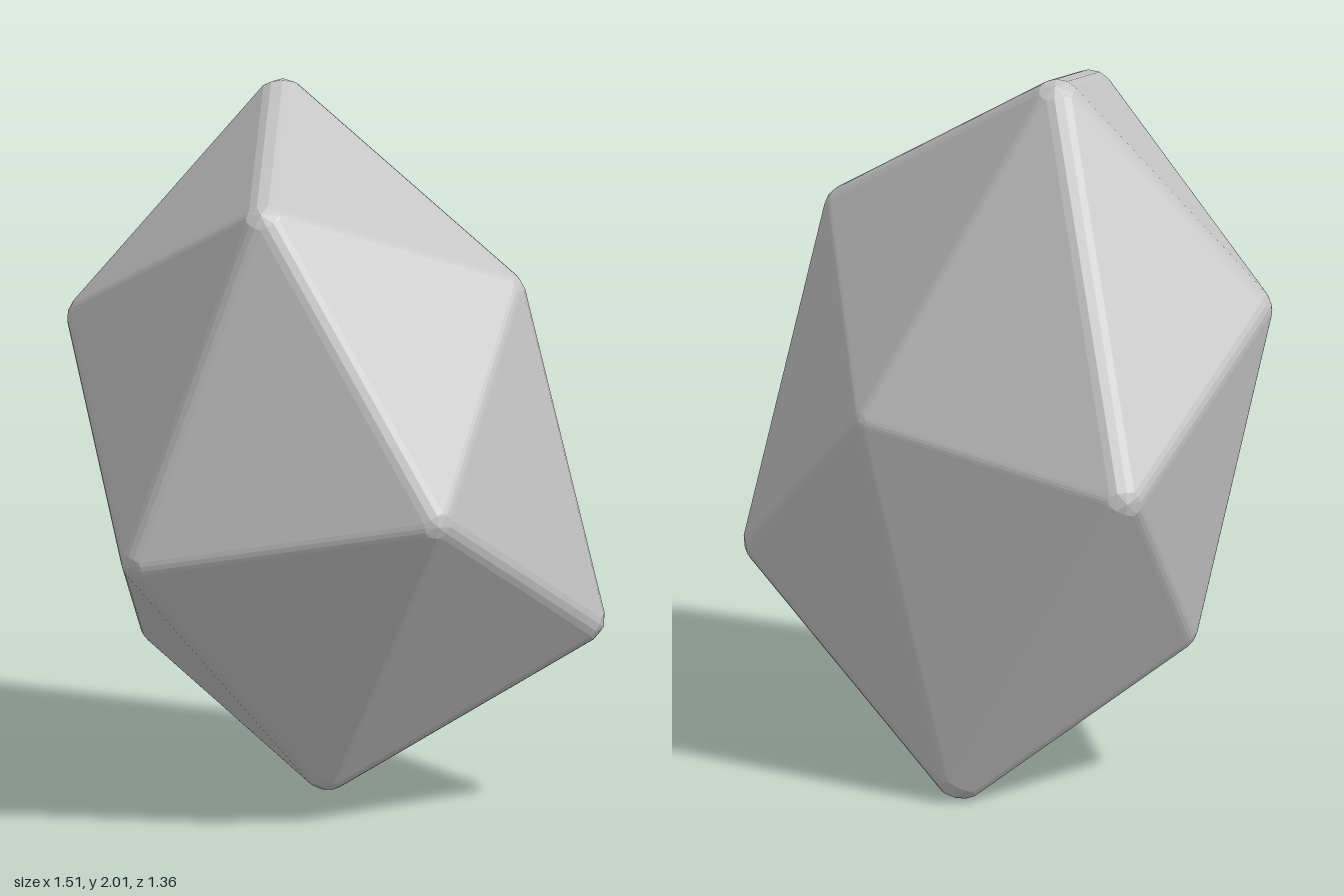
import * as THREE from 'three';
import { ConvexGeometry } from 'three/addons/geometries/ConvexGeometry.js';

// Corners of the irregular twenty-sided boulder
const corners = {
  A: [-0.25, 2.0, -0.26], B: [0.12, 1.81, 0.49], C: [0.585, 1.535, -0.17],
  D: [-0.725, 1.35, 0.13], E: [-0.2, 0.785, 0.685], F: [0.67, 0.96, 0.43],
  G: [0.75, 0.52, -0.345], H: [0.14, 0.08, 0.17], I: [-0.17, 0.0, -0.64],
  J: [-0.59, 0.39, -0.06], K: [-0.75, 0.94, -0.625], L: [0.13, 1.06, -0.685],
};
const faces = ('ABC ACL ALK AKD ADB BFC BEF BDE CFG CGL ' +
  'LGI LIK KIJ KJD DJE HEJ HJI HIG HGF HFE').split(' ');
const ROUND = 0.07; // edge rounding radius
const INSET = 0.077; // depth of each rounding centre below its corner

function roundedBoulder() {
  const centre = new THREE.Vector3(0, 1, 0);
  const verts = {};
  for (const k in corners) verts[k] = new THREE.Vector3(...corners[k]);

  // Outward normal of every face
  const flats = faces.map((name) => {
    const [a, b, c] = [...name].map((k) => verts[k]);
    const n = b.clone().sub(a).cross(c.clone().sub(a)).normalize();
    if (n.dot(a.clone().sub(centre)) < 0) n.negate();
    return { name, n };
  });

  // Each corner becomes a small faceted cap; edges become three narrow bands
  const points = [];
  for (const k in verts) {
    const around = flats.filter((f) => f.name.includes(k));
    const tip = new THREE.Vector3();
    around.forEach((f) => tip.add(f.n));
    tip.normalize();
    const dirs = [tip, ...around.map((f) => f.n)];
    around.forEach((f) => around.forEach((g) => {
      const shared = [...f.name].filter((c) => g.name.includes(c)).length;
      if (shared === 2) dirs.push(f.n.clone().lerp(g.n, 1 / 3).normalize());
    }));
    const core = verts[k].clone().addScaledVector(tip, -INSET);
    dirs.forEach((d) => points.push(core.clone().addScaledVector(d, ROUND)));
  }
  return new ConvexGeometry(points);
}

export function createModel() {
  const group = new THREE.Group();
  group.name = 'rock';
  const stone = new THREE.MeshStandardMaterial({ color: 0xc5c5c5 });
  stone.name = 'stone grey';
  stone.flatShading = true;
  const boulder = new THREE.Mesh(roundedBoulder(), stone);
  boulder.name = 'boulder';
  group.add(boulder);
  return group;
}
